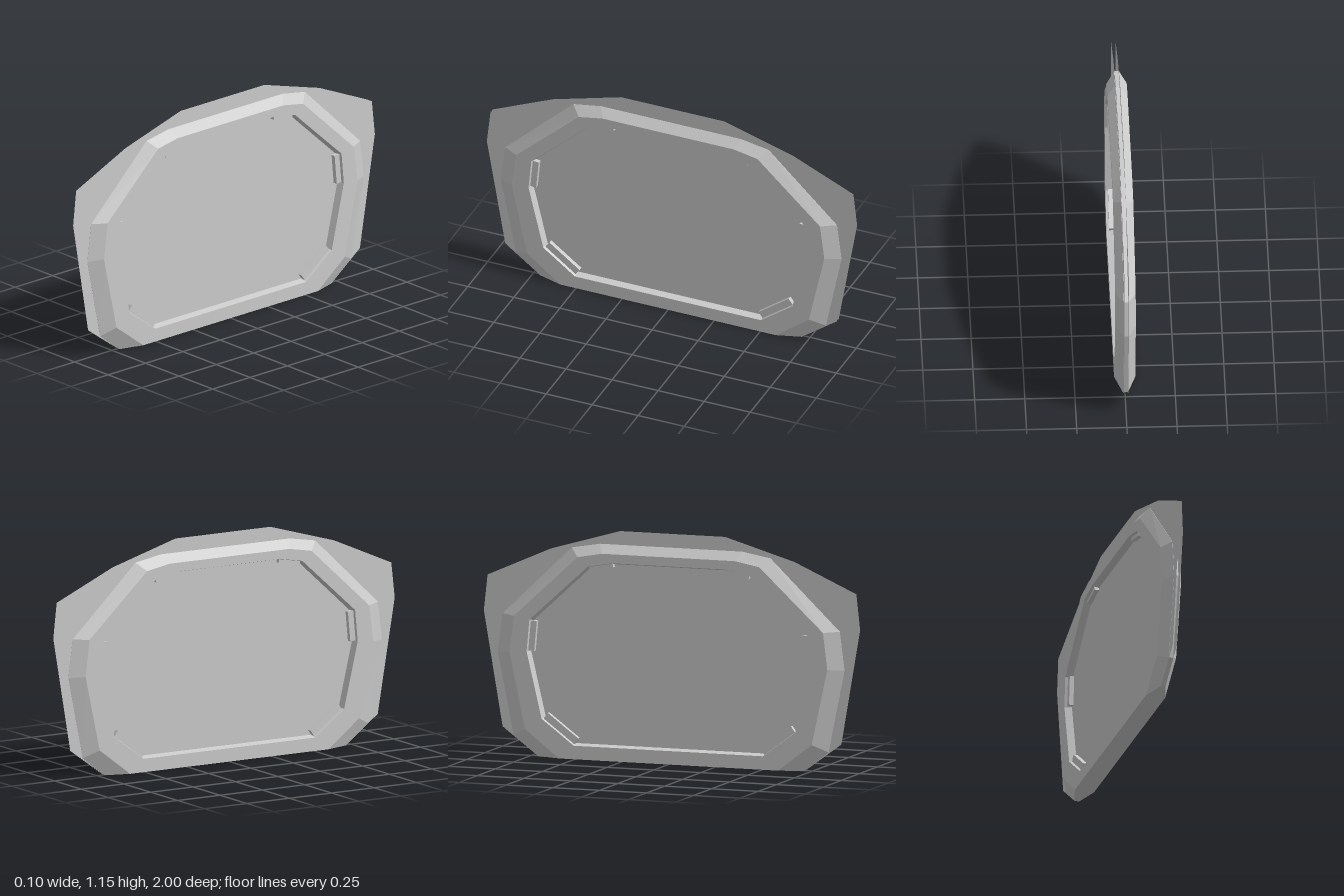
import * as THREE from 'three';

const material = new THREE.MeshStandardMaterial({ color: 0xcccccc, flatShading: true, side: THREE.DoubleSide });

// Half outlines as [z, y], from the top centre down to the bottom centre
const SHEET = [[0.28, 1.152], [0.65, 1.045], [0.98, 0.9], [1.0, 0.72], [0.9, 0.14], [0.71, 0]];
const OUTER = [[0.38, 1.086], [0.53, 1.06], [0.9, 0.71], [0.925, 0.515], [0.84, 0.1], [0.71, 0]];
const RIDGE = [[0.355, 1.042], [0.485, 1.018], [0.825, 0.705], [0.848, 0.52], [0.765, 0.138], [0.585, 0]];
const RECESS = [[0.3, 0.997], [0.43, 0.973], [0.742, 0.69], [0.757, 0.53], [0.677, 0.195], [0.505, 0.068]];
const FLOOR = [[0.298, 0.988], [0.426, 0.965], [0.732, 0.685], [0.746, 0.53], [0.668, 0.201], [0.502, 0.077]];

// Full loop from a half outline
const mirror = (half) => [...half, ...half.map(([z, y]) => [-z, y]).reverse()];

// Closed solid lofted through [x, half outline] sections, capped at both ends
function loft(sections) {
  const positions = [], index = [];
  sections.forEach(([x, half]) => mirror(half).forEach(([z, y]) => positions.push(x, y, z)));
  const n = sections[0][1].length * 2;
  const last = (sections.length - 1) * n;
  for (let s = 0; s < sections.length - 1; s++) {
    for (let i = 0; i < n; i++) {
      const a = s * n + i, d = s * n + (i + 1) % n;
      index.push(a, a + n, d + n, a, d + n, d);
    }
  }
  for (let i = 1; i < n - 1; i++) {
    index.push(0, i, i + 1);
    index.push(last, last + i + 1, last + i);
  }
  const geometry = new THREE.BufferGeometry();
  geometry.setAttribute('position', new THREE.Float32BufferAttribute(positions, 3));
  geometry.setIndex(index);
  const flat = geometry.toNonIndexed();
  flat.computeVertexNormals();
  return flat;
}

export function createModel() {
  const group = new THREE.Group();
  const add = (name, geometry) => {
    const mesh = new THREE.Mesh(geometry, material);
    mesh.name = name;
    group.add(mesh);
    return mesh;
  };

  // Bevelled frame with a recessed panel on each face
  add('frame', loft([
    [0.014, FLOOR], [0.05, RECESS], [0.05, RIDGE], [0.012, OUTER],
    [-0.012, OUTER], [-0.05, RIDGE], [-0.05, RECESS], [-0.014, FLOOR],
  ]));

  for (const side of [1, -1]) {
    // Thin flange sheets around the frame
    const shape = new THREE.Shape(mirror(SHEET).map(([z, y]) => new THREE.Vector2(-z * side, y)));
    const sheet = add('flangeSheet', new THREE.ShapeGeometry(shape));
    sheet.rotation.y = side * Math.PI / 2;
    sheet.position.x = side * 0.011;

    // Retaining clips along the short edges of the recess
    for (const end of [1, -1]) {
      for (const [i, depth] of [[0, 0.022], [2, 0.035], [4, 0.04]]) {
        const [z0, y0] = RECESS[i], [z1, y1] = RECESS[i + 1];
        const dz = z1 - z0, dy = y1 - y0, length = Math.hypot(dz, dy);
        // Inward offset from the recess wall
        const nz = dy / length, ny = -dz / length;
        const sign = nz * z0 + ny * (y0 - 0.53) < 0 ? 1 : -1;
        const inset = sign * depth / 2;
        const clip = add('retainingClip', new THREE.BoxGeometry(0.024, depth, length * 0.95));
        clip.position.set(side * 0.025, (y0 + y1) / 2 + ny * inset, end * ((z0 + z1) / 2 + nz * inset));
        clip.rotation.x = -Math.atan2(dy, dz) * end;
      }
    }
  }
  return group;
}
